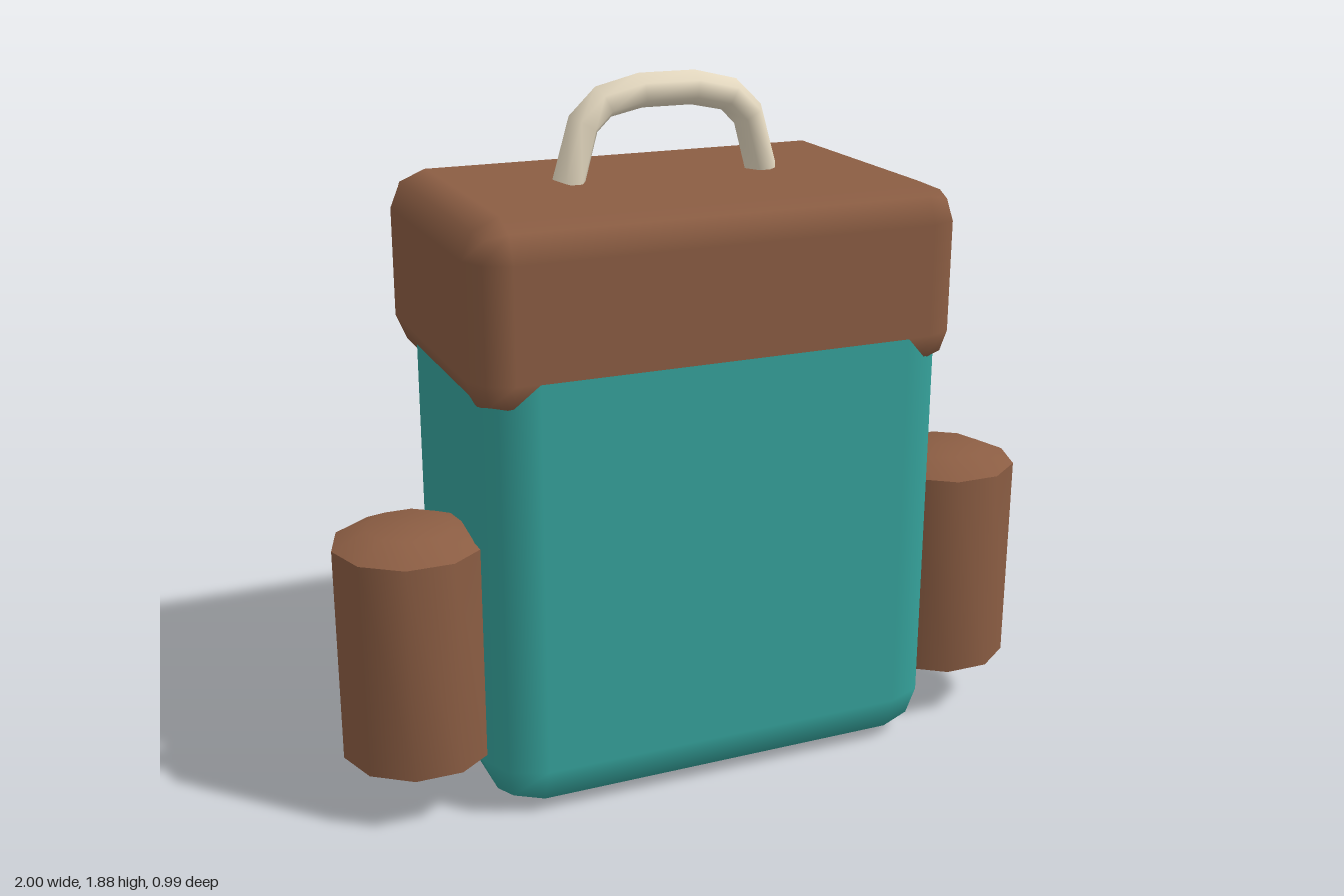
import * as THREE from 'three';
import { RoundedBoxGeometry } from 'three/addons/geometries/RoundedBoxGeometry.js';
import { toCreasedNormals } from 'three/addons/utils/BufferGeometryUtils.js';

const material = (color) => new THREE.MeshStandardMaterial({ color });

export function createModel() {
  const model = new THREE.Group();
  model.name = 'backpack';
  const teal = material(0x35a29b);
  const brown = material(0x8b5d43);
  const cream = material(0xe8dcc3);
  const gold = material(0xdca93c);

  const add = (name, geometry, mat, x, y, z) => {
    const mesh = new THREE.Mesh(geometry, mat);
    mesh.name = name;
    mesh.position.set(x, y, z);
    model.add(mesh);
    return mesh;
  };
  // Box with every edge rounded in two coarse steps
  const softBox = (name, mat, [w, h, d], radius, y, z) =>
    add(name, new RoundedBoxGeometry(w, h, d, 1, radius), mat, 0, y, z);

  // Main bag and overhanging lid
  softBox('body', teal, [1.31, 1.5, 0.765], 0.14, 0.75, 0.113);
  softBox('lid', brown, [1.354, 0.5, 0.861], 0.1, 1.36, 0.066);

  // Pocket with its clasp, and the lid buckle
  softBox('pocket', cream, [0.88, 0.585, 0.2], 0.08, 0.343, -0.332);
  softBox('pocketClasp', gold, [0.16, 0.136, 0.06], 0.028, 0.343, -0.466);
  softBox('lidBuckle', gold, [0.25, 0.228, 0.1], 0.03, 1.167, -0.386);

  // Ten-sided side pouches with shallow domed ends
  const profile = [[0, 0.12], [0.115, 0.12], [0.205, 0.16], [0.205, 0.75], [0.115, 0.79], [0, 0.79]]
    .map(([r, y]) => new THREE.Vector2(r, y));
  const pouch = toCreasedNormals(new THREE.LatheGeometry(profile, 10, Math.PI / 2), 0.8);
  add('leftPouch', pouch, brown, 0.795, 0, 0.243);
  add('rightPouch', pouch, brown, -0.795, 0, 0.243).rotation.y = Math.PI;

  // Carrying handle: hexagonal section swept along an arch
  const half = [[0.28, 1.608], [0.237, 1.76], [0.18, 1.815], [0.075, 1.839]];
  const arch = [...half.map(([x, y]) => [-x, y]), ...half.slice().reverse()];
  const path = new THREE.CatmullRomCurve3(arch.map(([x, y]) => new THREE.Vector3(x, y, 0)));
  // Sample exactly at the arch points
  path.getPointAt = (t, target) => path.getPoint(t, target);
  path.getTangentAt = (t, target) => path.getTangent(t, target);
  const section = new THREE.Shape(Array.from({ length: 6 }, (_, i) => {
    const a = Math.PI / 2 + (i * Math.PI) / 3;
    return new THREE.Vector2(0.05 * Math.cos(a), 0.046 * Math.sin(a));
  }));
  const handle = new THREE.ExtrudeGeometry(section, {
    steps: arch.length - 1, extrudePath: path, bevelEnabled: false,
  });
  add('handle', toCreasedNormals(handle, 1.2), cream, 0, 0, 0.064);

  return model;
}
